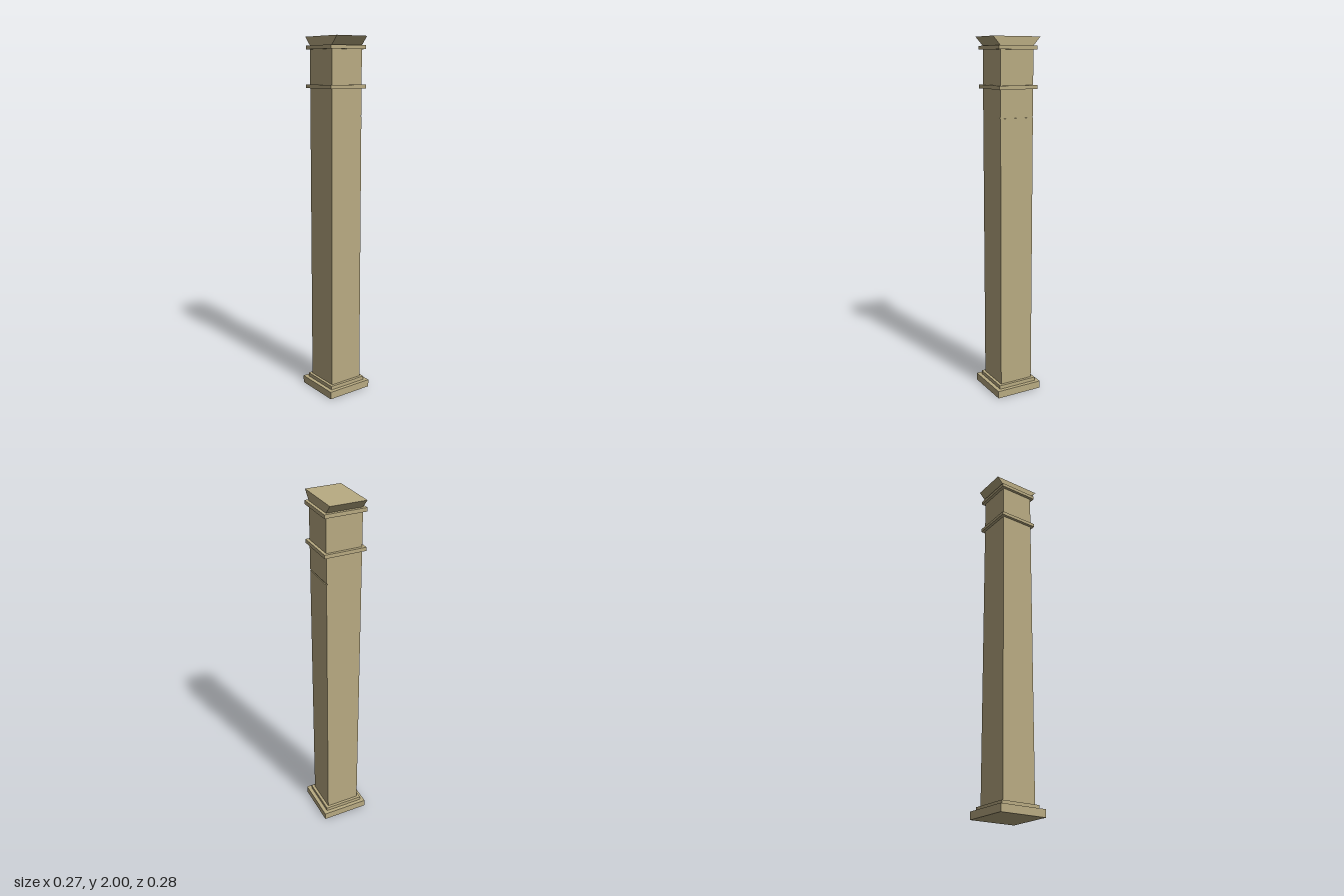
import * as THREE from 'three';

const HALF = 0.099; // half width of the shaft

// Extrude a closed 2D outline, centred along its depth
function prism(points, depth) {
  const shape = new THREE.Shape(points.map(([x, y]) => new THREE.Vector2(x, y)));
  return new THREE.ExtrudeGeometry(shape, { depth, bevelEnabled: false }).translate(0, 0, -depth / 2);
}

export function createModel() {
  const group = new THREE.Group();
  const stone = new THREE.MeshStandardMaterial({ color: 0xb9ab82 });
  stone.name = 'sandstone';

  const add = (name, geometry) => {
    const mesh = new THREE.Mesh(geometry, stone);
    mesh.name = name;
    group.add(mesh);
  };

  // Square slab from y0 to y1
  const slab = (name, half, y0, y1) =>
    add(name, new THREE.BoxGeometry(half * 2, y1 - y0, half * 2).translate(0, (y0 + y1) / 2, 0));

  // Stepped base
  slab('plinth', 0.137, 0, 0.042);
  slab('baseStep', 0.115, 0.042, 0.063);

  // Shaft with a fine joint cut into its left side
  const cut = HALF - 0.005;
  add('shaft', prism([
    [-HALF, 0.05], [HALF, 0.05], [HALF, 1.578], [cut, 1.578],
    [cut, 1.585], [HALF, 1.585], [HALF, 1.955], [-HALF, 1.955],
  ], HALF * 2));

  // Bands around the neck
  slab('lowerCollar', 0.115, 1.729, 1.749);
  slab('upperCollar', 0.115, 1.933, 1.953);

  // Capital flaring to front and back
  add('capital', prism([
    [-HALF, 1.953], [HALF, 1.953], [0.142, 2], [-0.142, 2],
  ], HALF * 2).rotateY(Math.PI / 2));

  return group;
}
